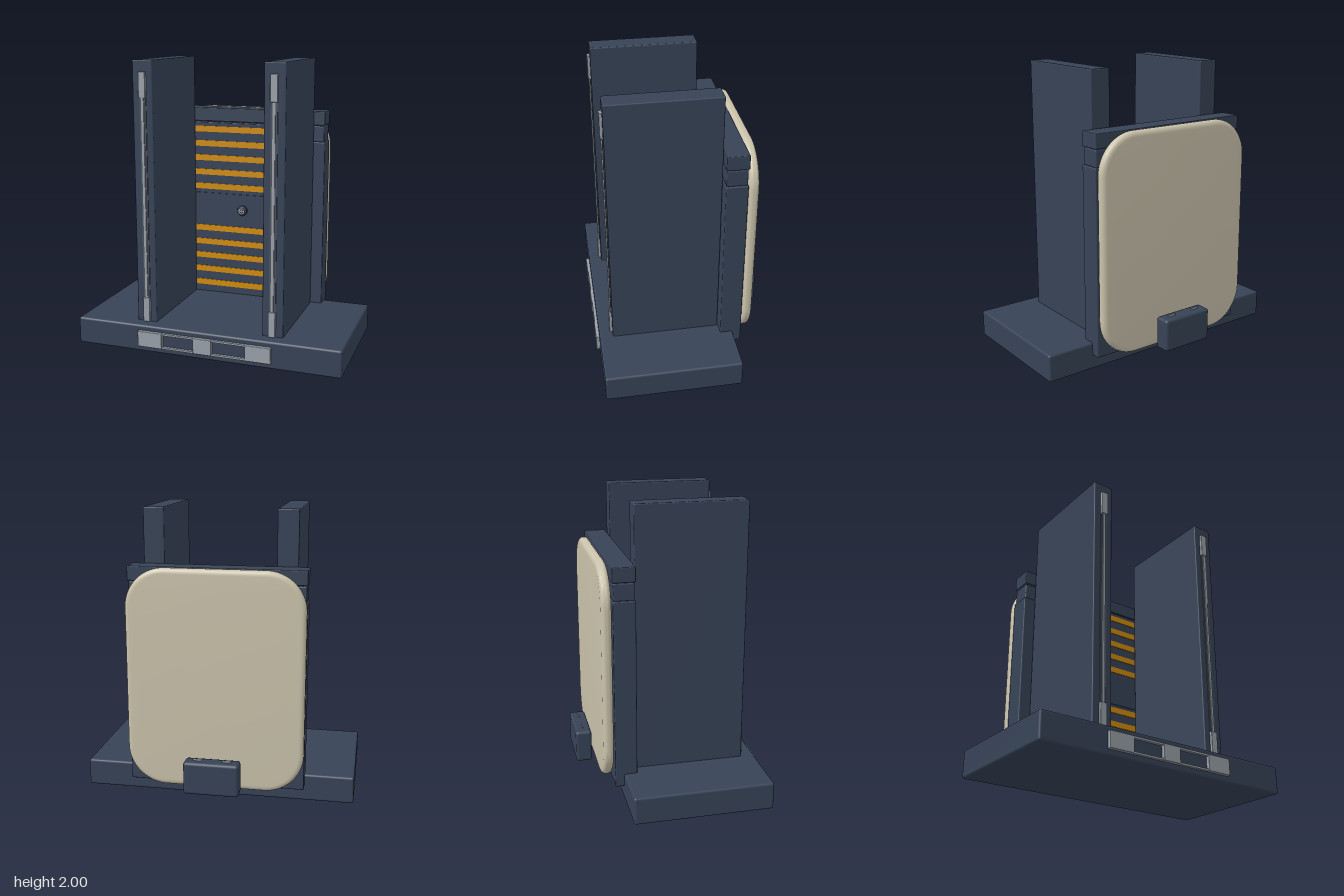
import * as THREE from 'three';
import { toCreasedNormals } from 'three/addons/utils/BufferGeometryUtils.js';
import { RoundedBoxGeometry } from 'three/addons/geometries/RoundedBoxGeometry.js';

const mat = (name, color) => {
  const m = new THREE.MeshStandardMaterial({ color });
  m.name = name;
  return m;
};

export function createModel() {
  const navy = mat('navy', 0x374357);
  const grey = mat('light grey', 0x9aa1a9);
  const darkGrey = mat('dark grey', 0x4b535d);
  const amber = mat('amber', 0xd18c0c);
  const cream = mat('cream', 0xcbc3ac);

  const model = new THREE.Group();
  const add = (name, geometry, material, x = 0, y = 0, z = 0) => {
    const mesh = new THREE.Mesh(geometry, material);
    mesh.name = name;
    mesh.position.set(x, y, z);
    model.add(mesh);
    return mesh;
  };
  // Box given by its limits on each axis, with softened edges when r > 0
  const box = (name, material, [x0, x1], [y0, y1], [z0, z1], r = 0) => {
    const s = [x1 - x0, y1 - y0, z1 - z0];
    const g = r ? new RoundedBoxGeometry(...s, 2, r) : new THREE.BoxGeometry(...s);
    return add(name, g, material, (x0 + x1) / 2, (y0 + y1) / 2, (z0 + z1) / 2);
  };

  // Plinth
  box('base', navy, [-0.95, 0.95], [0, 0.19], [-0.35, 0.595], 0.015);

  // Back wall: main panel, recessed band and cap
  box('backPanel', navy, [-0.61, 0.61], [0.1, 1.4], [-0.41, -0.26], 0.008);
  box('backBand', navy, [-0.602, 0.602], [1.4, 1.515], [-0.405, -0.265], 0.008);
  box('backCap', navy, [-0.608, 0.608], [1.52, 1.62], [-0.412, -0.26], 0.006);

  // Grille face between the side walls, with amber slats above and below
  box('grillePanel', navy, [-0.39, 0.39], [0.19, 1.51], [-0.3, -0.257]);
  box('centrePlate', navy, [-0.385, 0.385], [0.745, 0.975], [-0.26, -0.25]);
  for (const y0 of [0.264, 1.026]) {
    for (let i = 0; i < 5; i++) {
      const y = y0 + i * 0.109;
      box('slat', amber, [-0.385, 0.385], [y - 0.022, y + 0.022], [-0.26, -0.252]);
    }
  }

  // Knob on the centre plate
  const knobProfile = [[0, 0], [0.022, 0], [0.022, 0.012], [0.037, 0.02],
    [0.037, 0.038], [0.026, 0.052], [0, 0.052]].map(p => new THREE.Vector2(...p));
  const knob = toCreasedNormals(new THREE.LatheGeometry(knobProfile, 24), 0.6);
  add('knob', knob.rotateX(Math.PI / 2), navy, 0, 0.86, -0.252);
  add('knobFace', new THREE.CylinderGeometry(0.025, 0.025, 0.004, 24).rotateX(Math.PI / 2),
    grey, 0, 0.86, -0.199);
  add('knobRing', new THREE.TorusGeometry(0.012, 0.002, 6, 20), darkGrey, 0, 0.86, -0.197);

  // Side walls, each with a light rail on its front edge
  for (const s of [-1, 1]) {
    const span = (a, b) => (s > 0 ? [a, b] : [-b, -a]);
    box('sideWall', navy, span(0.385, 0.53), [0.18, 2], [-0.255, 0.5], 0.008);
    box('railChannel', darkGrey, span(0.432, 0.478), [0.34, 1.77], [0.49, 0.506]);
    box('railCore', grey, span(0.446, 0.464), [0.34, 1.77], [0.49, 0.513]);
    box('railTopCap', grey, span(0.43, 0.48), [1.75, 1.925], [0.49, 0.52], 0.005);
    box('railBottomCap', grey, span(0.43, 0.48), [0.19, 0.365], [0.49, 0.52], 0.005);
  }

  // Front strip on the base: a thin frame and three bright blocks
  box('stripTop', grey, [-0.48, 0.48], [0.14, 0.153], [0.585, 0.615]);
  box('stripBottom', grey, [-0.48, 0.48], [0.042, 0.055], [0.585, 0.615]);
  for (const [a, b] of [[-0.48, -0.3], [-0.07, 0.062], [0.3, 0.48]]) {
    box('stripBlock', grey, [a, b], [0.042, 0.153], [0.585, 0.62], 0.004);
  }

  // Cushion on the rear, a rounded slab with soft rims
  const w = 0.575, h = 0.725, r = 0.235;
  const outline = new THREE.Shape();
  outline.absarc(w - r, h - r, r, 0, Math.PI / 2);
  outline.absarc(r - w, h - r, r, Math.PI / 2, Math.PI);
  outline.absarc(r - w, r - h, r, Math.PI, Math.PI * 1.5);
  outline.absarc(w - r, r - h, r, Math.PI * 1.5, Math.PI * 2);
  outline.closePath();
  const cushion = new THREE.ExtrudeGeometry(outline, {
    depth: 0.01, bevelThickness: 0.03, bevelSize: 0.035, bevelSegments: 5, curveSegments: 12,
  });
  add('cushion', toCreasedNormals(cushion, 0.7), cream, 0, 0.86, -0.455);

  // Small box behind the cushion, with two slim tabs on top
  box('rearBox', navy, [-0.19, 0.19], [0.1, 0.328], [-0.62, -0.507], 0.02);
  for (const x of [-0.1, 0.1]) {
    box('rearTab', grey, [x - 0.03, x + 0.03], [0.32, 0.342], [-0.568, -0.56]);
  }

  return model;
}
